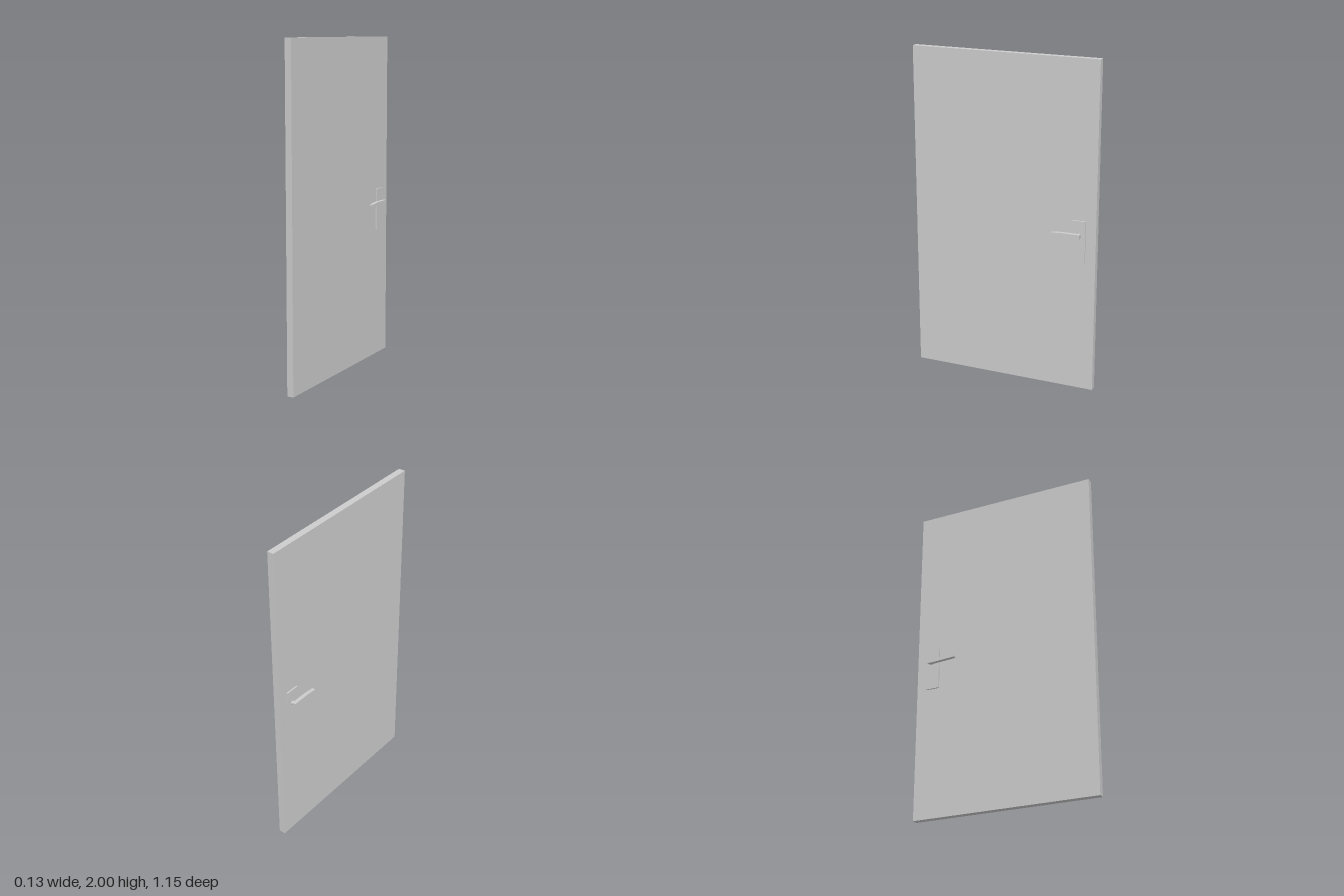
import * as THREE from 'three';

const material = new THREE.MeshStandardMaterial({ color: 0xcccccc });

function addMesh(parent, name, geometry, x = 0, y = 0, z = 0) {
  const mesh = new THREE.Mesh(geometry, material);
  mesh.name = name;
  mesh.position.set(x, y, z);
  parent.add(mesh);
  return mesh;
}

// Side profile of the lever in (z, y), tapering towards its tip
function leverGeometry(width) {
  const profile = new THREE.Shape();
  profile.moveTo(-0.488, 0.96);
  profile.lineTo(-0.45, 0.96);
  profile.quadraticCurveTo(-0.38, 0.964, -0.31, 0.969);
  profile.lineTo(-0.31, 0.98);
  profile.quadraticCurveTo(-0.37, 0.987, -0.42, 0.986);
  profile.lineTo(-0.488, 0.986);
  profile.closePath();
  const geometry = new THREE.ExtrudeGeometry(profile, { depth: width, bevelEnabled: false, curveSegments: 8 });
  geometry.translate(0, 0, -width / 2);
  geometry.rotateY(-Math.PI / 2);
  return geometry;
}

export function createModel() {
  const door = new THREE.Group();
  door.name = 'door';

  // Door leaf
  addMesh(door, 'leaf', new THREE.BoxGeometry(0.04, 2, 1.15), 0, 1, 0);

  // One handle set on each face
  for (const side of [-1, 1]) {
    const handle = new THREE.Group();
    handle.name = side > 0 ? 'leftHandle' : 'rightHandle';
    door.add(handle);

    addMesh(handle, 'backplate', new THREE.BoxGeometry(0.009, 0.257, 0.085), side * 0.0245, 0.9315, -0.47);

    const stem = new THREE.CylinderGeometry(0.0125, 0.0125, 0.028, 24);
    stem.rotateZ(Math.PI / 2);
    addMesh(handle, 'stem', stem, side * 0.038, 0.973, -0.475);

    addMesh(handle, 'lever', leverGeometry(0.0225), side * 0.0513);
  }

  return door;
}
